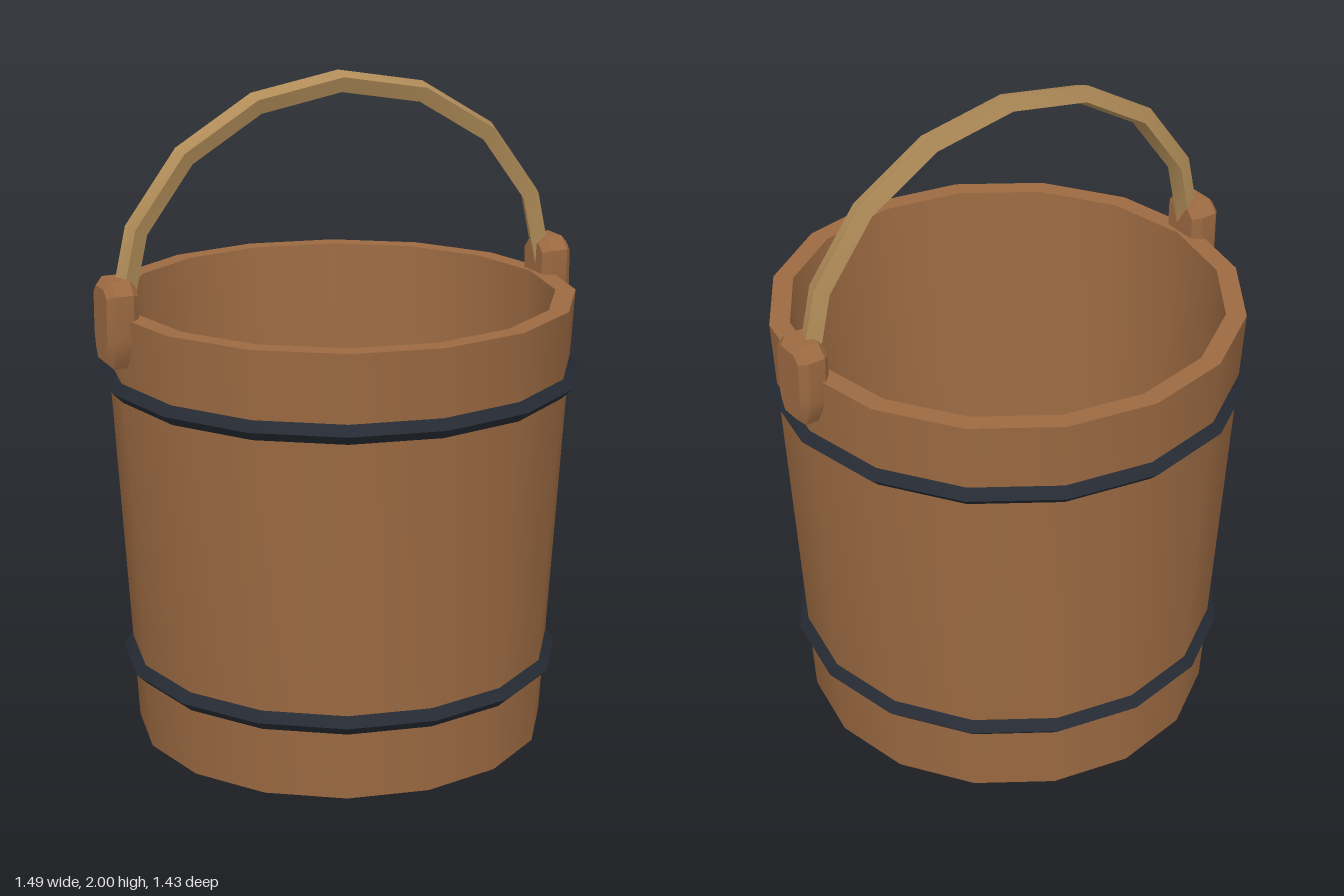
import * as THREE from 'three';
import { toCreasedNormals } from 'three/addons/utils/BufferGeometryUtils.js';

const SIDES = 16;
const wood = new THREE.MeshStandardMaterial({ color: 0x9c6a42 });
const iron = new THREE.MeshStandardMaterial({ color: 0x252a33 });
const paleWood = new THREE.MeshStandardMaterial({ color: 0xb08c58 });

// Outer wall radius at a given height
const wallRadius = (y) => 0.62 + 0.08 * (y / 1.345);

function lathe(profile) {
  const points = profile.map(([r, y]) => new THREE.Vector2(r, y));
  return toCreasedNormals(new THREE.LatheGeometry(points, SIDES), 0.5);
}

function addMesh(parent, name, geometry, material) {
  const mesh = new THREE.Mesh(geometry, material);
  mesh.name = name;
  parent.add(mesh);
  return mesh;
}

// Diamond bar swept along a half ellipse
function handleGeometry() {
  const steps = 8, corners = 4, bar = 0.034, twist = -0.44;
  const rx = 0.685, ry = 0.62, baseY = 1.35;
  const positions = [], index = [];
  for (let i = 0; i <= steps; i++) {
    const t = (Math.PI * i) / steps;
    const normal = new THREE.Vector2(Math.cos(t) / rx, Math.sin(t) / ry).normalize();
    for (let j = 0; j < corners; j++) {
      const a = twist + (j * Math.PI) / 2;
      const out = bar * Math.cos(a);
      positions.push(
        rx * Math.cos(t) + normal.x * out,
        baseY + ry * Math.sin(t) + normal.y * out,
        bar * Math.sin(a)
      );
      if (i < steps) {
        const p = i * corners + j, q = i * corners + ((j + 1) % corners);
        index.push(p, p + corners, q, q, p + corners, q + corners);
      }
    }
  }
  // End caps
  const e = steps * corners;
  index.push(0, 1, 2, 0, 2, 3, e, e + 2, e + 1, e, e + 3, e + 2);
  const geometry = new THREE.BufferGeometry();
  geometry.setAttribute('position', new THREE.Float32BufferAttribute(positions, 3));
  geometry.setIndex(index);
  return toCreasedNormals(geometry, 0.6);
}

// Chamfered block, narrower at the foot, thickness along x
function bracketGeometry() {
  const bevel = 0.022, depth = 0.096;
  const half = [[0.03, 1.222], [0.045, 1.25], [0.055, 1.29], [0.055, 1.41], [0.033, 1.433]];
  const outline = [...half, ...half.map(([z, y]) => [-z, y]).reverse()];
  const shape = new THREE.Shape(outline.map(([z, y]) => new THREE.Vector2(z, y)));
  const geometry = new THREE.ExtrudeGeometry(shape, {
    depth: depth - 2 * bevel, bevelEnabled: true, bevelSegments: 1,
    bevelSize: bevel, bevelThickness: bevel,
  });
  geometry.translate(0, 0, bevel - depth / 2);
  geometry.rotateY(Math.PI / 2);
  return toCreasedNormals(geometry, 0.5);
}

export function createModel() {
  const bucket = new THREE.Group();
  bucket.name = 'bucket';

  // Recessed underside, outer wall, rim, inner wall and floor
  addMesh(bucket, 'pail', lathe([
    [0, 0.07], [0.615, 0.07], [wallRadius(0), 0], [wallRadius(1.345), 1.345],
    [0.64, 1.345], [0.57, 0.1], [0, 0.1],
  ]), wood);

  // Iron hoops
  for (const [name, y] of [['lowerHoop', 0.235], ['upperHoop', 1.115]]) {
    const r = wallRadius(y);
    addMesh(bucket, name, lathe([
      [r - 0.004, y - 0.032], [r + 0.029, y], [r - 0.002, y + 0.032],
    ]), iron);
  }

  // Handle and its side brackets
  addMesh(bucket, 'handle', handleGeometry(), paleWood);
  for (const [name, side] of [['leftBracket', 1], ['rightBracket', -1]]) {
    const bracket = addMesh(bucket, name, bracketGeometry(), wood);
    bracket.position.x = side * 0.698;
  }
  return bucket;
}
